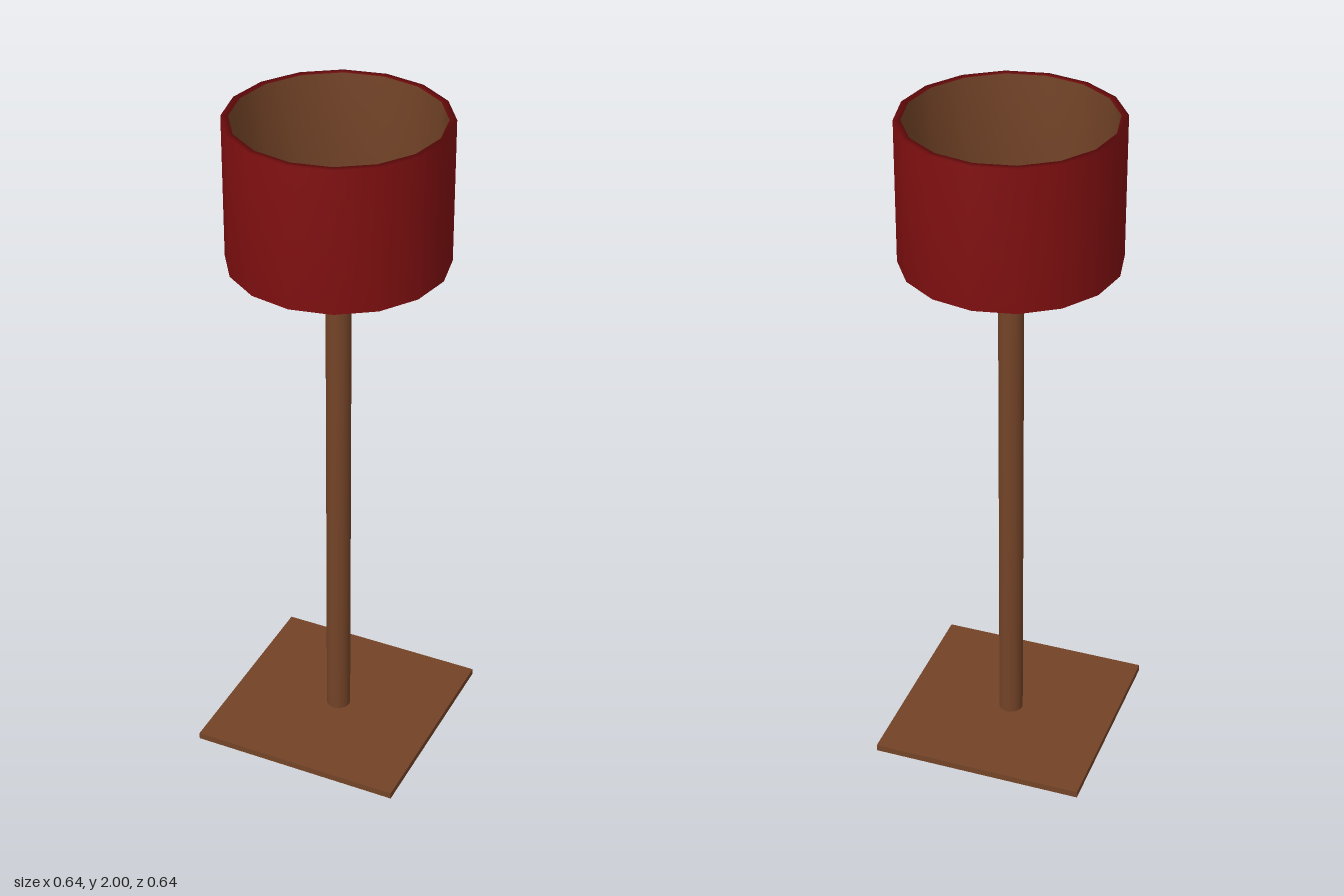
import * as THREE from 'three';
import { mergeVertices } from 'three/addons/utils/BufferGeometryUtils.js';

const wood = new THREE.MeshStandardMaterial({ color: 0x734327 });
wood.name = 'brown wood';
const fabric = new THREE.MeshStandardMaterial({ color: 0x800f10 });
fabric.name = 'dark red fabric';

// Weld a geometry so its shading runs smoothly over every edge
function weld(geometry) {
  geometry.deleteAttribute('uv');
  geometry.deleteAttribute('normal');
  const welded = mergeVertices(geometry, 1e-4);
  welded.computeVertexNormals();
  return welded;
}

function addPart(group, name, geometry, material, y) {
  const mesh = new THREE.Mesh(geometry, material);
  mesh.name = name;
  mesh.position.y = y;
  group.add(mesh);
  return mesh;
}

export function createModel() {
  const lamp = new THREE.Group();
  lamp.name = 'floorLamp';

  // Square foot, with the pole reaching just below it
  addPart(lamp, 'base', new THREE.BoxGeometry(0.636, 0.02, 0.636), wood, 0.018);

  // Pole, ending a little above the shade supports
  const poleHeight = 1.66;
  const pole = new THREE.CylinderGeometry(0.036, 0.036, poleHeight, 32);
  pole.clearGroups();
  addPart(lamp, 'pole', weld(pole), wood, poleHeight / 2);

  // Crossed bars carrying the shade
  for (const [name, turn] of [['supportBarX', 0], ['supportBarZ', Math.PI / 2]]) {
    const bar = addPart(lamp, name, new THREE.BoxGeometry(0.58, 0.025, 0.047), wood, 1.612);
    bar.rotation.y = turn;
  }

  // Sixteen-sided shade with a closed wall: red outside, brown lining
  const sides = 16, bottom = 1.585, top = 2, inner = 0.29, outer = 0.31;
  const profile = [[inner, bottom], [outer, bottom], [outer, top], [inner, top], [inner, bottom]]
    .map(([r, y]) => new THREE.Vector2(r, y));
  const shade = weld(new THREE.LatheGeometry(profile, sides));
  const wallMaterials = [1, 0, 0, 1]; // bottom rim, outside, top rim, lining
  for (let i = 0; i < sides; i++) {
    wallMaterials.forEach((m, j) => shade.addGroup((i * 4 + j) * 6, 6, m));
  }
  addPart(lamp, 'shade', shade, [fabric, wood], 0);

  return lamp;
}
